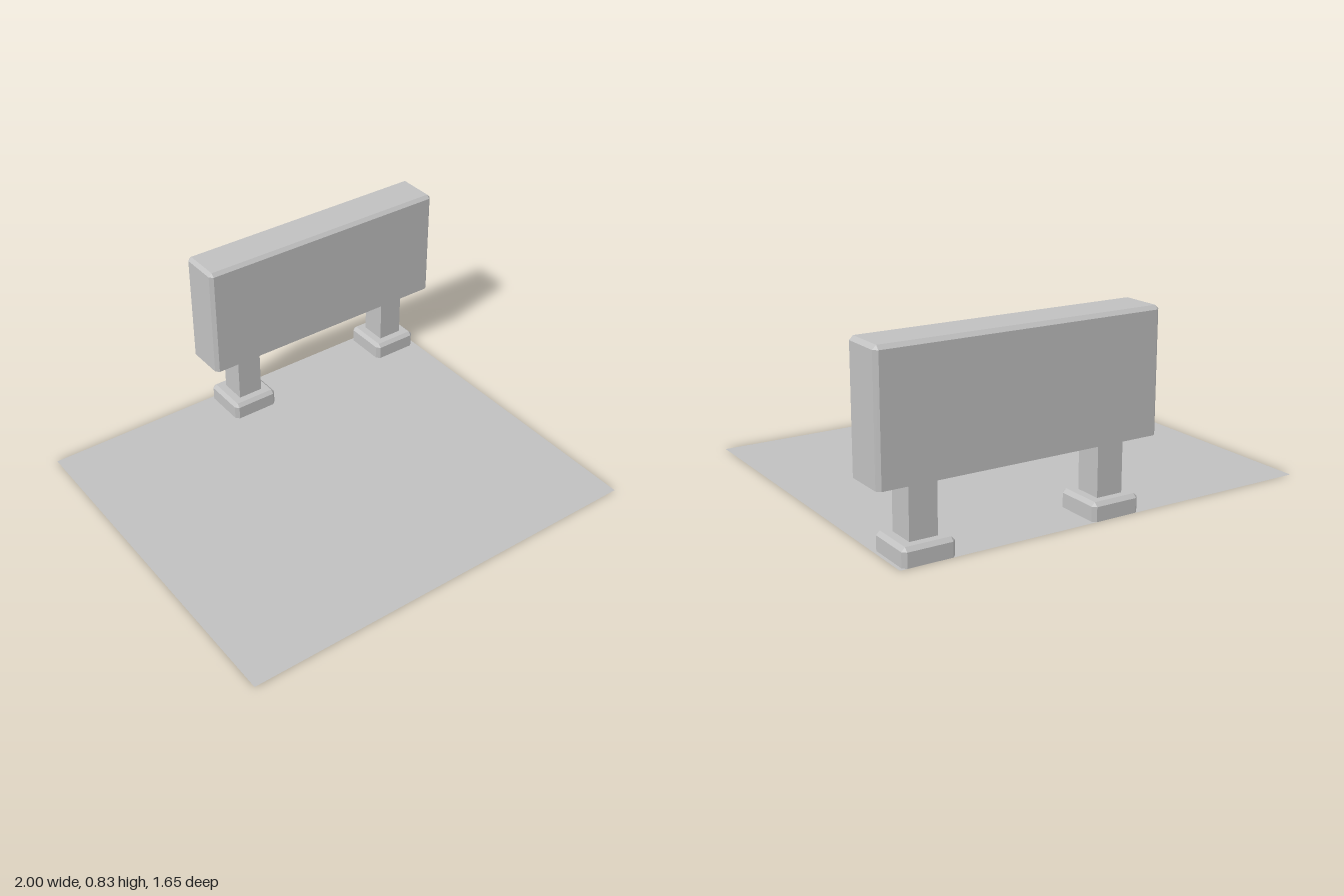
import * as THREE from 'three';
import { ConvexGeometry } from 'three/addons/geometries/ConvexGeometry.js';

const grey = new THREE.MeshStandardMaterial({ color: 0xc0c0c0 });
grey.name = 'light grey';
const groundGrey = new THREE.MeshStandardMaterial({ color: 0xc0c0c0, side: THREE.DoubleSide });
groundGrey.name = 'ground grey';

// Box standing on y = 0 with its upright and top edges chamfered, bottom edges sharp
function chamferedBox(w, h, d, c) {
  const points = [];
  for (const sx of [-1, 1]) for (const sz of [-1, 1]) {
    const x = sx * w / 2, z = sz * d / 2;
    const xi = x - sx * c, zi = z - sz * c;
    for (const y of [0, h - c]) {
      points.push(new THREE.Vector3(x, y, zi), new THREE.Vector3(xi, y, z));
    }
    points.push(new THREE.Vector3(xi, h, zi));
  }
  return new ConvexGeometry(points);
}

function addPart(parent, name, geometry, x, y, z, material = grey) {
  const mesh = new THREE.Mesh(geometry, material);
  mesh.name = name;
  mesh.position.set(x, y, z);
  parent.add(mesh);
}

export function createModel() {
  const model = new THREE.Group();
  model.name = 'signOnGround';

  // Flat ground sheet
  const ground = new THREE.PlaneGeometry(1.92, 1.65).rotateX(-Math.PI / 2);
  addPart(model, 'ground', ground, -0.04, 0, 0, groundGrey);

  // Sign body
  addPart(model, 'signPanel', chamferedBox(1.25, 0.525, 0.205, 0.016), 0.372, 0.306, -0.713);

  // Two posts, each on a chamfered foot
  const post = new THREE.BoxGeometry(0.12, 0.24, 0.125);
  const foot = chamferedBox(0.224, 0.078, 0.224, 0.016);
  [['right', -0.053], ['left', 0.793]].forEach(([side, x]) => {
    addPart(model, side + 'Post', post, x, 0.19, -0.713);
    addPart(model, side + 'Foot', foot, x, 0, -0.713);
  });

  return model;
}
